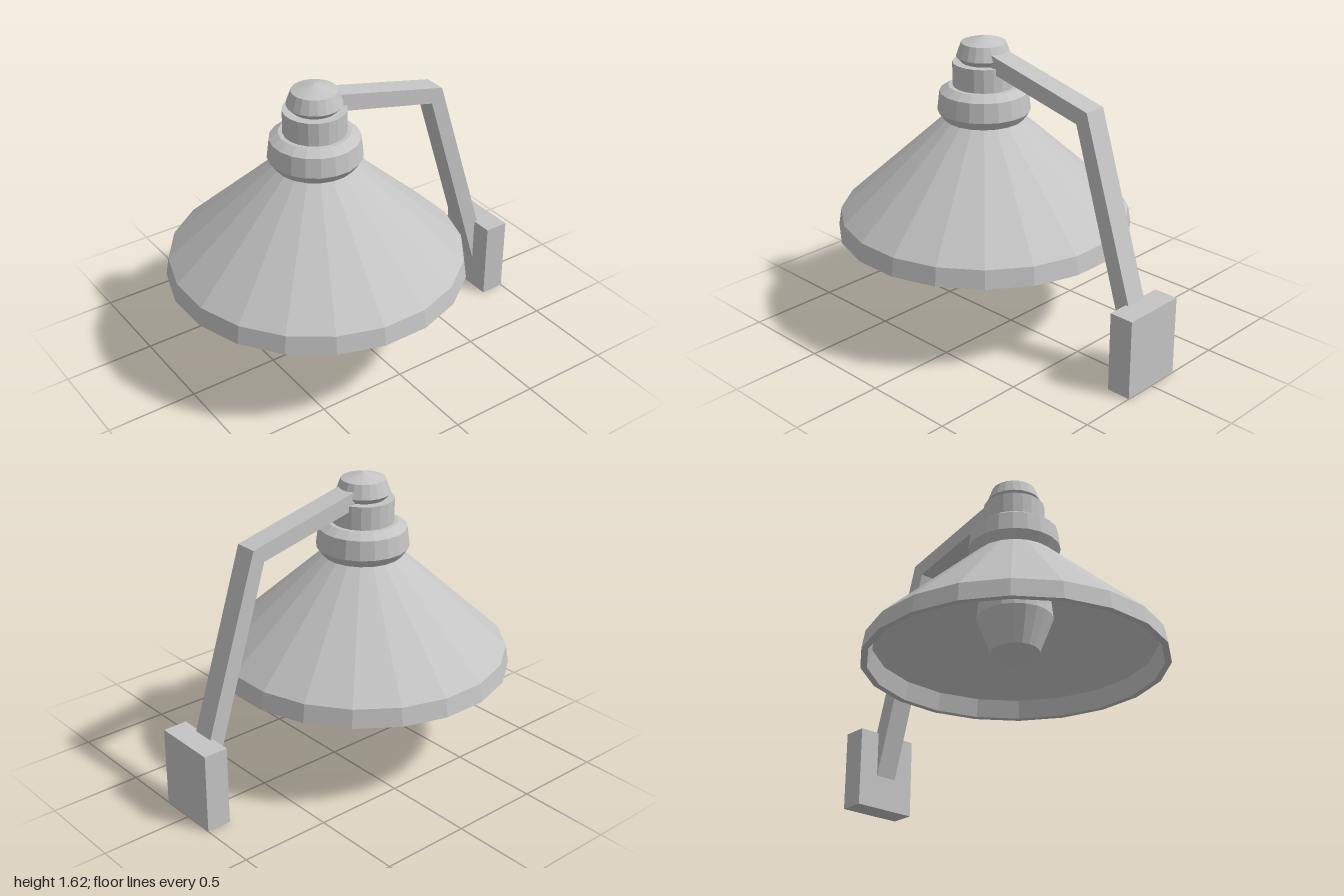
import * as THREE from 'three';

const SIDES = 20;
const LAMP_Z = 0.2; // vertical axis of the lamp head

export function createModel() {
  const group = new THREE.Group();
  const grey = new THREE.MeshStandardMaterial({ color: 0xc4c4c4, flatShading: true });
  grey.name = 'light grey';

  const add = (name, geometry, x = 0, y = 0, z = 0) => {
    const mesh = new THREE.Mesh(geometry, grey);
    mesh.name = name;
    mesh.position.set(x, y, z);
    group.add(mesh);
  };

  // Faceted turned part; [radius, y] runs upward along the outside
  const turned = (name, profile) => {
    const points = profile.map(([r, y]) => new THREE.Vector2(r, y));
    add(name, new THREE.LatheGeometry(points, SIDES, Math.PI / SIDES), 0, 0, LAMP_Z);
  };

  // Hollow shade: down the inside, across the rim, up the outside
  turned('shade', [
    [0, 1.15], [0.19, 1.15], [0.75, 0.64], [0.775, 0.54],
    [0.81, 0.54], [0.793, 0.64], [0.215, 1.17],
  ]);
  turned('bulb', [[0, 0.52], [0.13, 0.61], [0.205, 0.8], [0.19, 0.95], [0.14, 1.16]]);

  // Stacked fittings above the shade
  turned('collar', [
    [0, 1.165], [0.215, 1.165], [0.251, 1.215], [0.238, 1.32], [0.19, 1.352], [0, 1.352],
  ]);
  turned('neck', [[0.167, 1.34], [0.167, 1.48], [0, 1.48]]);
  turned('finial', [
    [0.115, 1.475], [0.147, 1.51], [0.12, 1.585], [0, 1.622],
  ]);

  // Bent bracket arm: side outline as [z, y], extruded across x
  const outline = [
    [0.085, 1.548], [-0.575, 1.395], [-0.885, 0.43], [-0.885, 0.12],
    [-0.51, 1.32], [0.085, 1.455],
  ];
  const shape = new THREE.Shape(outline.map(([z, y]) => new THREE.Vector2(-z, y)));
  const arm = new THREE.ExtrudeGeometry(shape, { depth: 0.125, bevelEnabled: false });
  arm.translate(0, 0, -0.0625);
  arm.rotateY(Math.PI / 2);
  add('bracketArm', arm);

  // Wall mounting plate
  add('wallPlate', new THREE.BoxGeometry(0.36, 0.44, 0.136), 0, 0.22, -0.932);

  return group;
}
